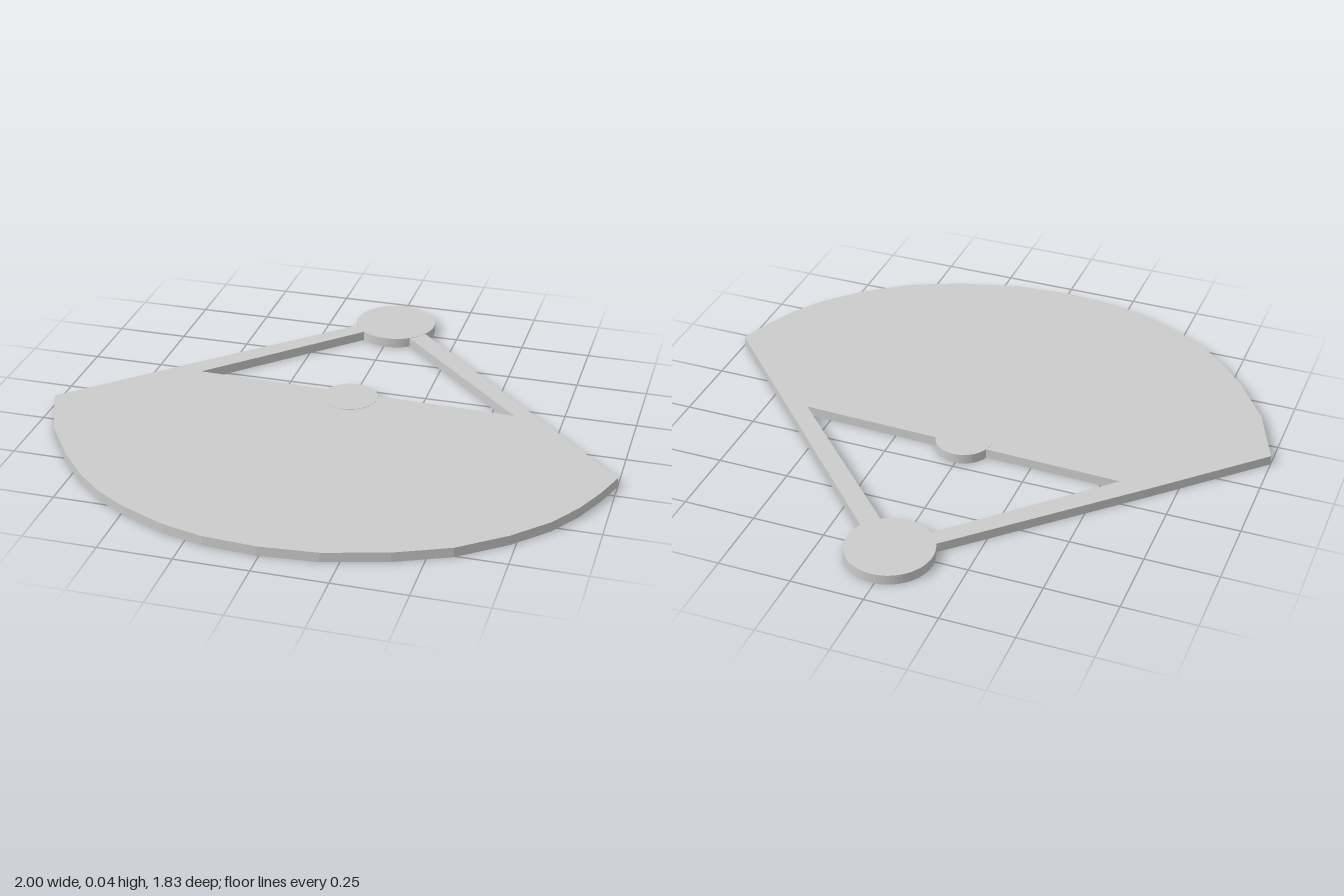
import * as THREE from 'three';

const material = new THREE.MeshStandardMaterial({ color: 0xcccccc });
const THICKNESS = 0.034;

// Flat slab from an outline given in (x, z), standing on y = 0
function slab(name, shape, height = THICKNESS) {
  const geometry = new THREE.ExtrudeGeometry(shape, { depth: height, bevelEnabled: false, curveSegments: 32 });
  geometry.rotateX(Math.PI / 2).translate(0, height, 0);
  const mesh = new THREE.Mesh(geometry, material);
  mesh.name = name;
  return mesh;
}

const polygon = (points) => new THREE.Shape(points.map(([x, z]) => new THREE.Vector2(x, z)));
const disc = (x, z, r) => new THREE.Shape().absarc(x, z, r, 0, Math.PI * 2, false);

export function createModel() {
  const group = new THREE.Group();
  group.name = 'fanPlate';

  // Fan-shaped plate: slightly skewed straight sides and a curved front rim
  group.add(slab('plate', polygon([
    [-0.67, -0.178], [-1, 0.145],
    [-0.91, 0.365], [-0.8, 0.525], [-0.7, 0.64], [-0.6, 0.728], [-0.49, 0.795],
    [-0.33, 0.865], [-0.19, 0.9], [-0.01, 0.912], [0.19, 0.895], [0.4, 0.835],
    [0.58, 0.755], [0.73, 0.64], [0.84, 0.525], [0.91, 0.415], [0.96, 0.305],
    [1, 0.19], [0.68, -0.141],
  ])));

  // Small round hub on the straight back edge
  group.add(slab('hub', disc(0.005, -0.13, 0.098), THICKNESS + 0.001));

  // Two thin arms running from the plate to the pivot
  group.add(slab('rightArm', polygon([[-0.1, -0.724], [-0.67, -0.178], [-0.565, -0.175], [-0.06, -0.68]])));
  group.add(slab('leftArm', polygon([[0.11, -0.731], [0.68, -0.141], [0.59, -0.143], [0.06, -0.68]])));

  // Round pivot at the back
  group.add(slab('pivot', disc(0.01, -0.768, 0.148), THICKNESS + 0.001));

  return group;
}
